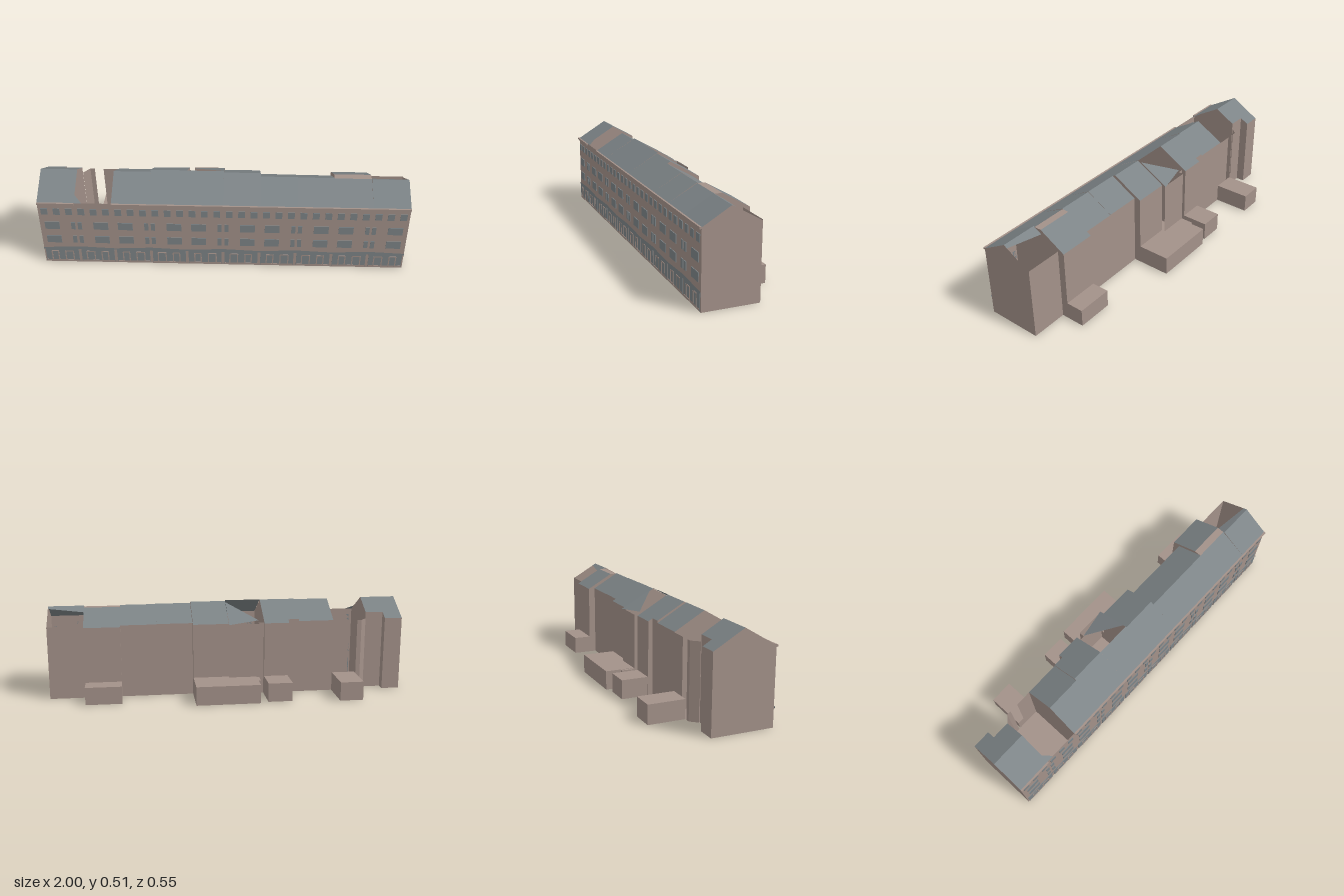
import * as THREE from 'three';

const brick = new THREE.MeshStandardMaterial({ color: 0xa39189, side: THREE.DoubleSide });
brick.name = 'brick';
const slate = new THREE.MeshStandardMaterial({ color: 0x7d8487, side: THREE.DoubleSide });
slate.name = 'slate';

const FRONT = 0.262, EAVE = 0.41, PITCH = 0.575;

// Several flat convex polygons joined in one mesh
function faces(name, material, polygons) {
  const pos = [];
  for (const p of polygons)
    for (let i = 1; i < p.length - 1; i++) pos.push(...p[0], ...p[i], ...p[i + 1]);
  const g = new THREE.BufferGeometry();
  g.setAttribute('position', new THREE.Float32BufferAttribute(pos, 3));
  g.computeVertexNormals();
  const m = new THREE.Mesh(g, material);
  m.name = name;
  return m;
}

// Box given by its limits
function block(name, material, x0, x1, y0, y1, z0, z1) {
  const m = new THREE.Mesh(new THREE.BoxGeometry(x1 - x0, y1 - y0, z1 - z0), material);
  m.position.set((x0 + x1) / 2, (y0 + y1) / 2, (z0 + z1) / 2);
  m.name = name;
  return m;
}

// One slice of the terrace: walls, floor, gables and the roof pieces it has
function house({ x0, x1, back, ridge, top, flat = 0, frontRoof = true, backRoof = true, backWall = true, gables = true }) {
  const g = new THREE.Group();
  g.name = 'house';
  const r2 = ridge - flat;
  const eave = top - PITCH * (r2 - back);
  const wallTop = backRoof ? eave : EAVE;
  const walls = [
    [[x0, 0, FRONT], [x1, 0, FRONT], [x1, EAVE, FRONT], [x0, EAVE, FRONT]],
    [[x0, 0, back], [x1, 0, back], [x1, 0, FRONT], [x0, 0, FRONT]],
  ];
  if (backWall) walls.push([[x1, 0, back], [x0, 0, back], [x0, wallTop, back], [x1, wallTop, back]]);
  if (gables) {
    const gable = x => [[x, 0, FRONT], [x, 0, back], [x, eave, back], [x, top, r2], [x, top, ridge], [x, EAVE, FRONT]];
    walls.push(gable(x0).reverse(), gable(x1));
  }
  if (flat) walls.push([[x0, top, ridge], [x1, top, ridge], [x1, top, r2], [x0, top, r2]]);
  g.add(faces('walls', brick, walls));
  const roof = [];
  if (frontRoof) roof.push([[x0, EAVE, FRONT], [x1, EAVE, FRONT], [x1, top, ridge], [x0, top, ridge]]);
  if (backRoof) roof.push([[x1, eave, back], [x0, eave, back], [x0, top, r2], [x1, top, r2]]);
  if (roof.length) g.add(faces('roof', slate, roof));
  return g;
}

export function createModel() {
  const model = new THREE.Group();
  model.name = 'terrace';

  // Houses along the street
  const slices = [
    { x0: -1, x1: -0.9, back: -0.075, ridge: 0.09, top: 0.512 },
    { x0: -0.9, x1: -0.8, back: -0.027, ridge: 0.09, top: 0.512 },
    { x0: -0.8, x1: -0.6, back: -0.03, ridge: 0.09, top: 0.51, frontRoof: false, backRoof: false, backWall: false, gables: false },
    { x0: -0.6, x1: -0.4, back: -0.07, ridge: 0.095, top: 0.508 },
    { x0: -0.4, x1: -0.34, back: -0.07, ridge: 0.083, top: 0.513 },
    { x0: -0.34, x1: -0.2, back: -0.095, ridge: 0.083, top: 0.513 },
    { x0: -0.2, x1: 0, back: -0.07, ridge: 0.085, top: 0.513, backRoof: false, backWall: false, gables: false },
    { x0: 0, x1: 0.2, back: -0.08, ridge: 0.09, top: 0.508 },
    { x0: 0.2, x1: 0.4, back: -0.042, ridge: 0.108, top: 0.498 },
    { x0: 0.4, x1: 0.6, back: -0.042, ridge: 0.108, top: 0.496 },
    { x0: 0.6, x1: 0.8, back: -0.08, ridge: 0.107, top: 0.493, flat: 0.04 },
    { x0: 0.8, x1: 1, back: -0.042, ridge: 0.115, top: 0.496, backRoof: false },
  ];
  for (const s of slices) model.add(house(s));

  // Back walls and floors of the partly open houses
  const backPath = pts => pts.slice(1).map(([x, z], i) => {
    const [px, pz] = pts[i];
    return [[px, 0, pz], [x, 0, z], [x, EAVE, z], [px, EAVE, pz]];
  });
  model.add(faces('openBackWalls', brick, [
    ...backPath([[-0.8, -0.03], [-0.765, -0.07], [-0.74, -0.07]]),
    ...backPath([[-0.69, -0.07], [-0.6, -0.07]]),
    ...backPath([[-0.2, -0.07], [-0.17, -0.07], [-0.17, -0.1], [0, -0.1]]),
    [[-0.8, 0, -0.03], [-0.765, 0, -0.07], [-0.6, 0, -0.07], [-0.6, 0, -0.03]],
    [[-0.17, 0, -0.1], [0, 0, -0.1], [0, 0, -0.07], [-0.17, 0, -0.07]],
  ]));

  // Remaining roof pieces over the open houses
  model.add(faces('roofPieces', slate, [
    [[-0.8, EAVE, FRONT], [-0.76, EAVE, FRONT], [-0.8, 0.435, 0.22]],
    [[-0.17, 0.424, -0.07], [0, 0.504, 0.07], [0, 0.408, -0.104]],
    [[0.8, 0.496, 0.115], [1, 0.496, 0.115], [1, 0.485, 0.095], [0.8, 0.467, 0.065]],
  ]));

  // Low rear outbuildings: x range, rear z, height, inner z
  for (const [x0, x1, z, h, inner] of [
    [-0.73, -0.6, -0.274, 0.105, -0.07],
    [-0.335, -0.2, -0.245, 0.105, -0.095],
    [-0.17, -0.155, -0.175, 0.103, -0.1],
    [-0.155, 0, -0.263, 0.105, -0.1],
    [0, 0.2, -0.263, 0.105, -0.08],
    [0.6, 0.8, -0.177, 0.098, -0.08],
  ]) model.add(block('outbuilding', brick, x0, x1, 0, h, z, inner));

  // Front gutter
  for (const [a, b] of [[-1, -0.8], [-0.6, 1]])
    model.add(block('gutter', brick, a, b, 0.402, 0.412, FRONT, 0.272));

  // Upper windows, mirrored about each shared wall
  const pane = (x, w, y0, y1, name = 'window') =>
    model.add(block(name, slate, x - w / 2, x + w / 2, y0, y1, FRONT, 0.266));
  for (let i = 0; i < 30; i++) pane(-1 + (i + 0.5) / 15, 0.036, 0.333, 0.374);
  for (let k = 0; k < 5; k++) {
    const c = -0.8 + 0.4 * k;
    for (const s of [-1, 1])
      for (const [y0, y1] of [[0.14, 0.188], [0.235, 0.283]]) {
        pane(c + s * 0.133, 0.08, y0, y1);
        pane(c + s * 0.018, 0.022, y0, y1);
      }
  }

  // Shopfronts: glazing, door with frame, slanting signboard
  for (let i = 0; i < 10; i++) {
    const x = -1 + 0.2 * i, z = 0.266;
    const shop = new THREE.Group();
    shop.name = 'shopfront';
    shop.add(block('glazing', slate, x + 0.008, x + 0.192, 0.008, 0.098, FRONT, z));
    const d = i % 2 ? 0.06 : 0.14;
    for (const [c, w] of [[d, 0.044], [0.2 - d, 0.036]]) {
      for (const s of [-1, 1])
        shop.add(block('doorFrame', brick, x + c + s * w / 2 - 0.003, x + c + s * w / 2 + 0.003, 0.008, 0.08, z, z + 0.002));
      shop.add(block('doorHead', brick, x + c - w / 2, x + c + w / 2, 0.077, 0.083, z, z + 0.002));
    }
    shop.add(block('sill', brick, x + 0.01, x + 0.19, 0.008, 0.018, z, z + 0.001));
    const l = i % 2 ? 0.116 : 0.106, r = i % 2 ? 0.106 : 0.116;
    shop.add(faces('signboard', slate, [
      [[x, 0.096, 0.268], [x + 0.2, 0.096, 0.268], [x + 0.2, r, 0.268], [x, l, 0.268]],
    ]));
    model.add(shop);
  }
  return model;
}
